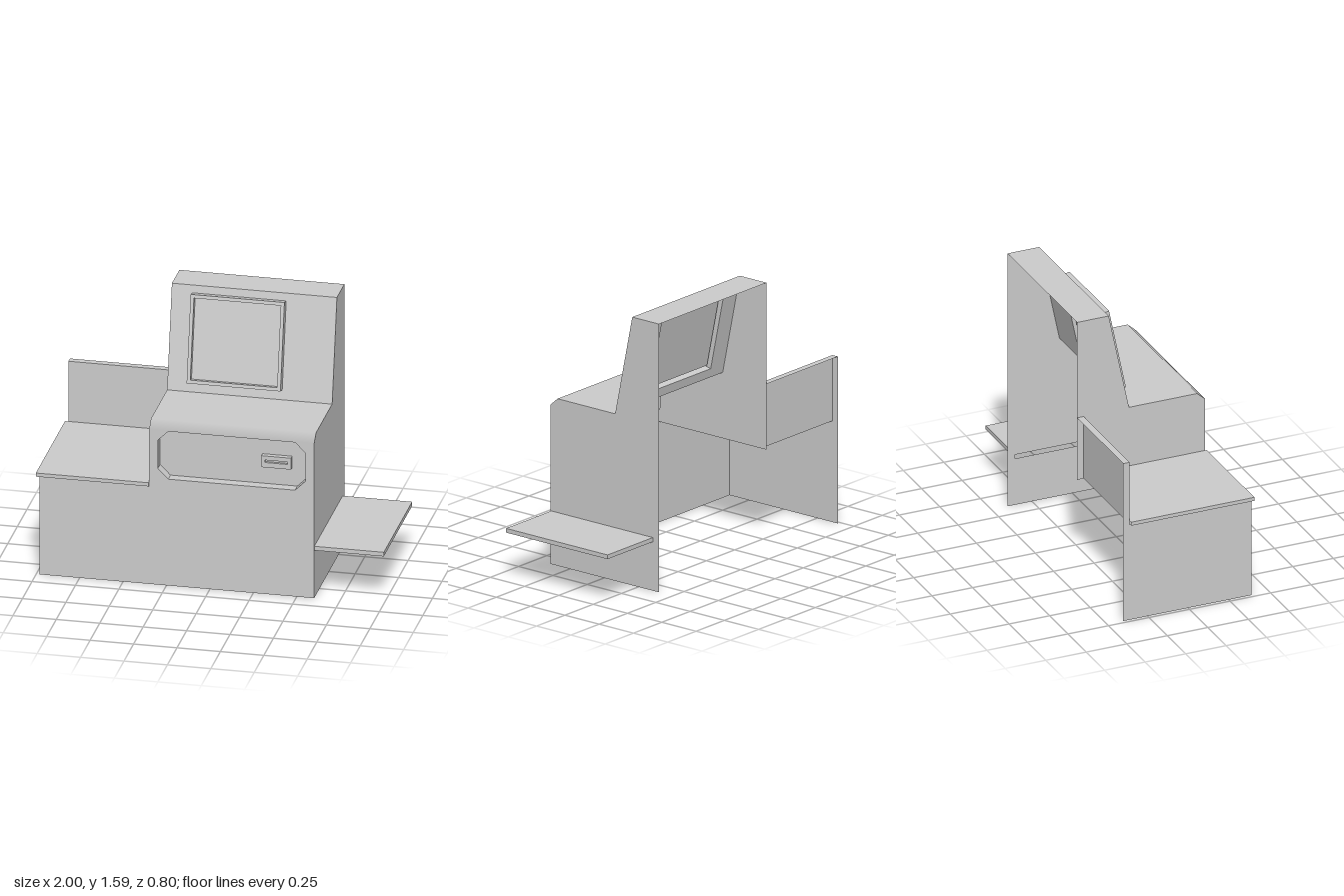
import * as THREE from 'three';

const material = new THREE.MeshStandardMaterial({ color: 0xcccccc, side: THREE.DoubleSide });

function add(parent, name, geometry) {
  const mesh = new THREE.Mesh(geometry, material);
  mesh.name = name;
  parent.add(mesh);
  return mesh;
}

const vecs = (pts) => pts.map(([x, y]) => new THREE.Vector2(x, y));
const rect = (x0, y0, x1, y1) => [[x0, y0], [x1, y0], [x1, y1], [x0, y1]];

// Flat sheet at depth z, with optional cut-outs
function sheet(outline, z = 0, ...holes) {
  const shape = new THREE.Shape(vecs(outline));
  for (const h of holes) shape.holes.push(new THREE.Path(vecs(h)));
  return new THREE.ShapeGeometry(shape).translate(0, 0, z);
}

// Strip of wall along a polyline, running from depth z0 to z1
function band(pts, z0, z1, closed = false) {
  const pos = [];
  const count = closed ? pts.length : pts.length - 1;
  for (let i = 0; i < count; i++) {
    const [ax, ay] = pts[i], [bx, by] = pts[(i + 1) % pts.length];
    pos.push(ax, ay, z0, bx, by, z0, bx, by, z1, ax, ay, z0, bx, by, z1, ax, ay, z1);
  }
  const g = new THREE.BufferGeometry();
  g.setAttribute('position', new THREE.Float32BufferAttribute(pos, 3));
  g.computeVertexNormals();
  return g;
}

// Side profiles are drawn in (-z, y), floor plans in (x, -z)
const asSide = (g, x) => g.rotateY(Math.PI / 2).translate(x, 0, 0);
const asFloor = (g, y) => g.rotateX(-Math.PI / 2).translate(0, y, 0);

const L = -0.98, M = -0.35, R = 0.6;              // body left edge, tower edges
const F = 0.39, B = -0.4;                         // front and back
const DECK = 0.99, TOP = 1.59, BEND = 0.945, TRAY = 0.6;
const SLOPE0 = -0.08, SLOPE1 = -0.205, LIP = 0.34;

export function createModel() {
  const model = new THREE.Group();
  model.name = 'checkoutKiosk';

  // Front panel with chamfered pocket opening
  const [px0, py0, px1, py1, c] = [-0.3, 0.65, 0.55, 0.942, 0.06];
  const pocket = [[px0 + c, py0], [px1 - c, py0], [px1, py0 + c], [px1, py1 - c],
    [px1 - c, py1], [px0 + c, py1], [px0, py1 - c], [px0, py0 + c]];
  add(model, 'frontPanel', sheet(
    [[L, 0], [R, 0], [R, BEND], [M, BEND], [M, TRAY], [L, TRAY]], F, pocket));

  // Pocket and card reader
  const pocketZ = F - 0.06, reader = rect(0.29, 0.76, 0.46, 0.83), slot = rect(0.31, 0.79, 0.44, 0.805);
  const readerZ = pocketZ + 0.03;
  add(model, 'pocketWalls', band(pocket, pocketZ, F, true));
  add(model, 'pocketBack', sheet(pocket, pocketZ, reader));
  add(model, 'readerSides', band(reader, pocketZ, readerZ, true));
  add(model, 'readerFace', sheet(reader, readerZ, slot));
  add(model, 'readerSlotWalls', band(slot, readerZ - 0.015, readerZ, true));
  add(model, 'readerSlotBack', sheet(slot, readerZ - 0.015));

  // Side walls, the outer one slotted for the shelf
  const tower = (y0) => [[-F, y0], [-B, y0], [-B, TOP], [-SLOPE1, TOP],
    [-SLOPE0, DECK], [-LIP, DECK], [-F, BEND]];
  add(model, 'towerOuterWall', asSide(sheet(tower(0), 0, rect(-0.385, 0.29, 0.355, 0.315)), R));
  add(model, 'towerInnerWall', asSide(sheet(tower(TRAY), 0), M));
  add(model, 'bodySideWall', asSide(sheet(rect(-F, 0, -B, TRAY), 0), L));

  // Soft front edge: normals turn from forward to upward
  const edge = new THREE.PlaneGeometry(R - M, 1);
  const p = edge.attributes.position, n = edge.attributes.normal;
  for (let i = 0; i < p.count; i++) {
    const upper = p.getY(i) > 0;
    p.setXYZ(i, p.getX(i) + (R + M) / 2, upper ? DECK : BEND, upper ? LIP : F);
    n.setXYZ(i, 0, upper ? 1 : 0, upper ? 0 : 1);
  }
  add(model, 'softFrontEdge', edge);

  // Deck and tower roof
  add(model, 'deck', asFloor(sheet(rect(M, -LIP, R, -SLOPE0)), DECK));
  add(model, 'towerRoof', asFloor(sheet(rect(M, -SLOPE1, R, -B)), TOP));

  // Sloped tower face with the screen housing
  const face = new THREE.Group();
  face.name = 'slopedFace';
  const rise = TOP - DECK, run = SLOPE0 - SLOPE1;
  face.position.set(0, DECK, SLOPE0);
  face.rotation.x = -Math.atan2(run, rise);
  model.add(face);
  const frame = rect(-0.23, 0.057, 0.31, 0.568), screen = rect(-0.21, 0.077, 0.29, 0.548);
  add(face, 'facePanel', sheet(rect(M, 0, R, Math.hypot(rise, run)), 0, frame));
  add(face, 'screenFrameSides', band(frame, 0, 0.048, true));
  add(face, 'screenFrameFront', sheet(frame, 0.048, screen));
  add(face, 'screenRecessWalls', band(screen, 0.015, 0.048, true));
  add(face, 'screen', sheet(screen, 0.015));

  // Tray on the low side, open underneath
  add(model, 'trayTop', asFloor(sheet(rect(-1, -0.4, M, 0.36)), 0.622));
  add(model, 'trayLip', asFloor(band([[-1, 0.36], [-1, -0.4], [M, -0.4], [M, -F]], 0, 0.022), TRAY));

  // Back board behind the tray, open at the rear
  add(model, 'backBoard', sheet(rect(L, TRAY, M, DECK), -0.36));
  add(model, 'backBoardRim', band([[L, TRAY], [L, DECK], [M, DECK]], B, -0.36));

  // Outer shelf, open underneath
  add(model, 'shelfTop', asFloor(sheet(rect(R, -0.385, 1, 0.355)), 0.315));
  add(model, 'shelfLip', asFloor(band([[R, -0.385], [1, -0.385], [1, 0.355], [R, 0.355]], 0, 0.025), 0.29));

  return model;
}
